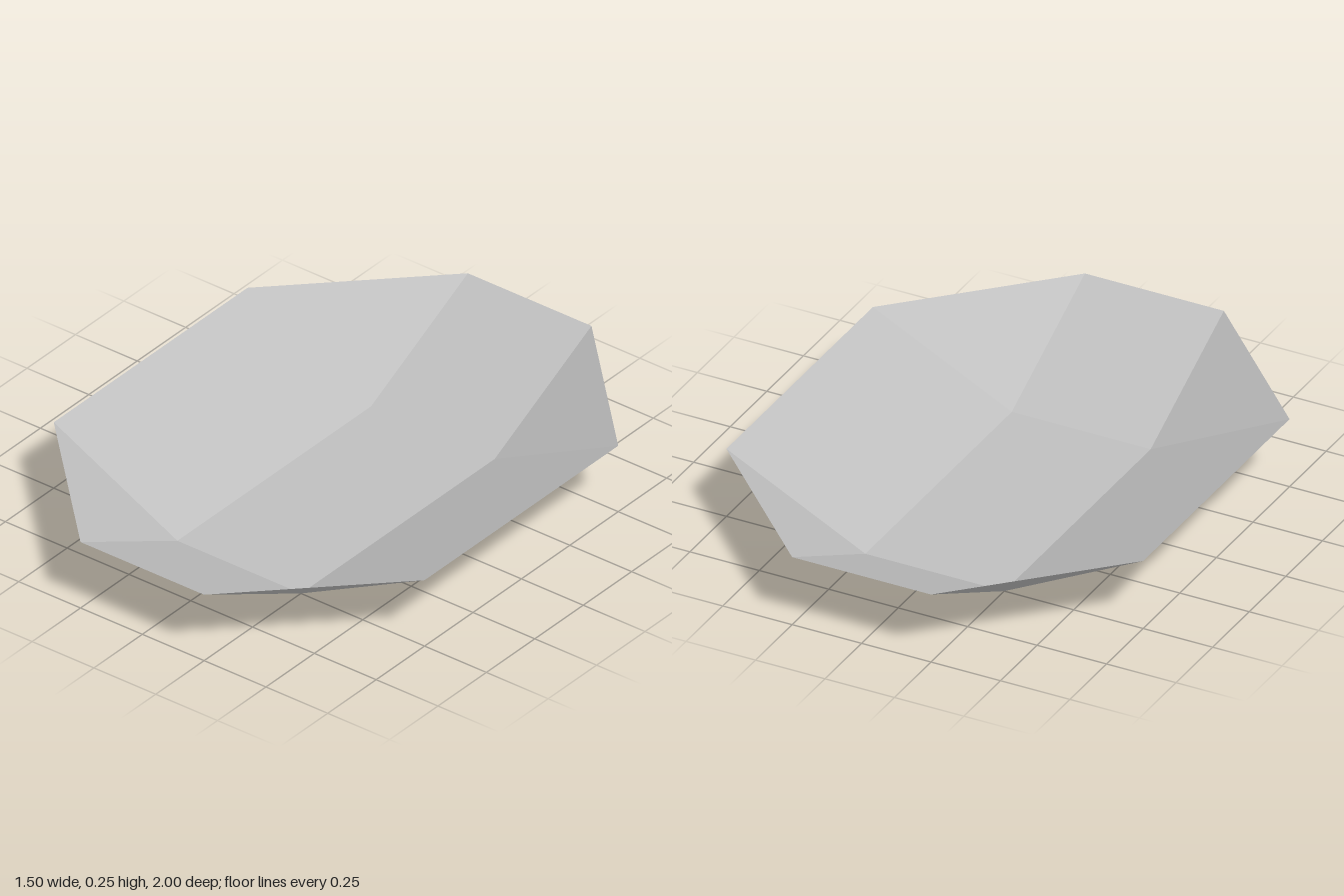
import * as THREE from 'three';

// Flat-shaded, two-sided surface from a list of triangle corners
function facetMesh(name, points, material) {
  const geometry = new THREE.BufferGeometry().setFromPoints(points);
  geometry.computeVertexNormals();
  const mesh = new THREE.Mesh(geometry, material);
  mesh.name = name;
  return mesh;
}

export function createModel() {
  const group = new THREE.Group();
  group.name = 'tray';
  const grey = new THREE.MeshStandardMaterial({ color: 0xbfbfbf, side: THREE.DoubleSide });
  grey.name = 'light grey';

  const baseX = 0.25, baseZ = 0.5, flare = 0.5, height = 0.25;

  // Eight rim points; each pair shares one corner of the floor
  const rim = [], base = [];
  for (const [sx, sz] of [[1, 1], [-1, 1], [-1, -1], [1, -1]]) {
    const side = new THREE.Vector3(sx * (baseX + flare), height, sz * baseZ);
    const end = new THREE.Vector3(sx * baseX, height, sz * (baseZ + flare));
    const corner = new THREE.Vector3(sx * baseX, 0, sz * baseZ);
    rim.push(...(sx === sz ? [side, end] : [end, side]));
    base.push(corner, corner);
  }

  // Flat floor
  group.add(facetMesh('floor', [base[0], base[4], base[2], base[0], base[6], base[4]], grey));

  // Sloping walls alternate with triangular corner panels
  for (let i = 0; i < 8; i++) {
    const j = (i + 1) % 8;
    const points = [rim[i], base[j], rim[j]];
    const isWall = base[i] !== base[j];
    if (isWall) points.push(rim[i], base[i], base[j]);
    group.add(facetMesh(isWall ? 'wall' : 'cornerPanel', points, grey));
  }
  return group;
}
